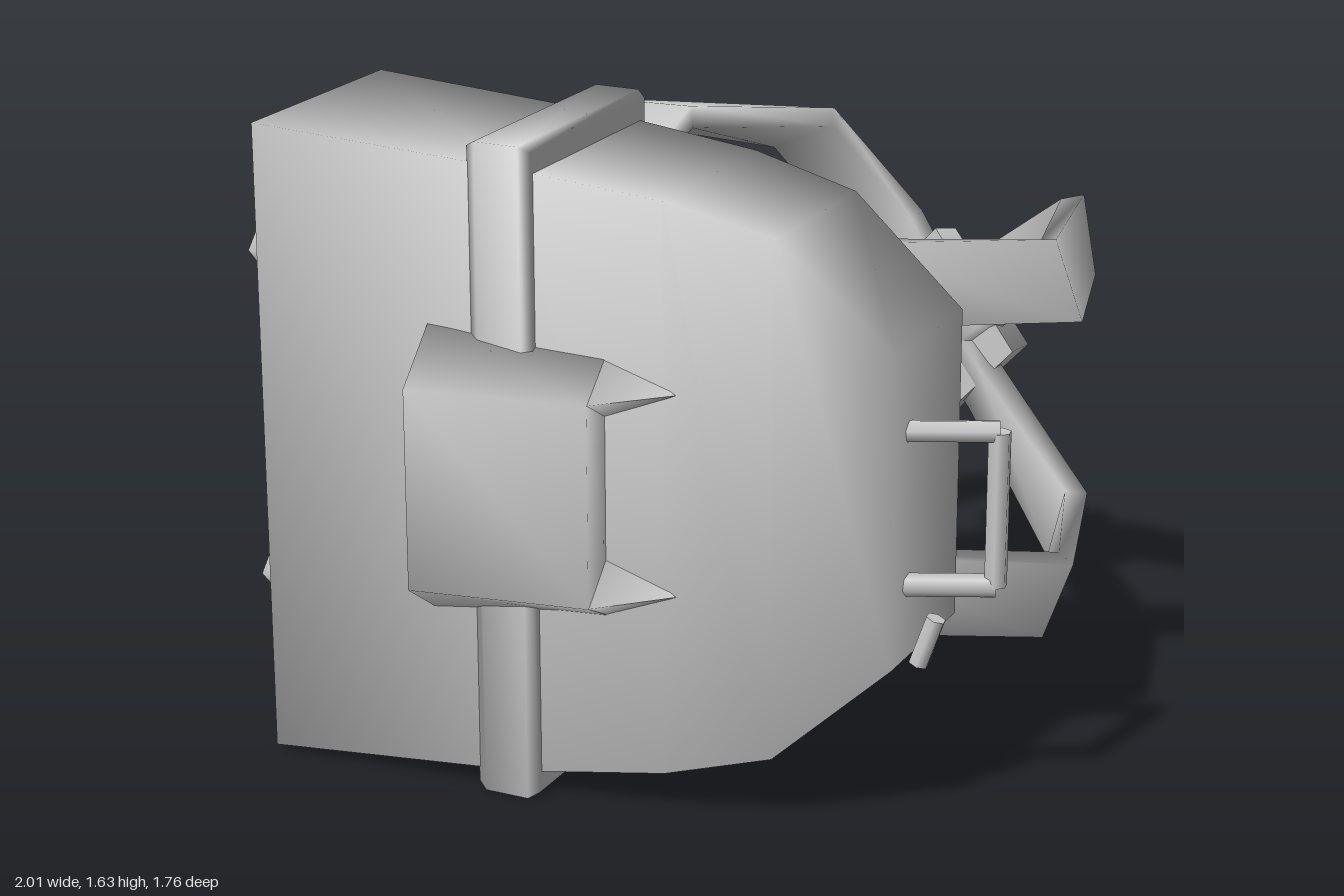
import * as THREE from 'three';

const V = (x, y, z) => new THREE.Vector3(x, y, z);
const MID = 0.82; // height of the mirror plane of the pack
const material = new THREE.MeshStandardMaterial({ color: 0xcccccc, side: THREE.DoubleSide });

// Skin a row of cross-sections (arrays of Vector3, counter-clockwise about the path)
function loft(sections) {
  const n = sections[0].length, last = (sections.length - 1) * n, index = [];
  for (let i = 0; i < sections.length - 1; i++) {
    for (let j = 0; j < n; j++) {
      const a = i * n + j, b = i * n + (j + 1) % n;
      index.push(a, b, b + n, a, b + n, a + n);
    }
  }
  for (let j = 1; j < n - 1; j++) {
    index.push(0, j + 1, j, last, last + j, last + j + 1);
  }
  const geometry = new THREE.BufferGeometry().setFromPoints(sections.flat());
  geometry.setIndex(index);
  geometry.computeVertexNormals();
  return geometry;
}

// Flat strap along points; each entry is [position, half-width vector]
function strapGeometry(path, halfThickness) {
  return loft(path.map(([p, h], i) => {
    const before = path[Math.max(i - 1, 0)][0];
    const after = path[Math.min(i + 1, path.length - 1)][0];
    const t = after.clone().sub(before).normalize();
    const n = t.cross(h).normalize().multiplyScalar(halfThickness);
    return [[1, 1], [-1, 1], [-1, -1], [1, -1]].map(([a, b]) =>
      p.clone().addScaledVector(h, a).addScaledVector(n, b));
  }));
}

function add(parent, name, geometry) {
  const mesh = new THREE.Mesh(geometry, material);
  mesh.name = name;
  parent.add(mesh);
  return mesh;
}

// Round bar between two points
function bar(parent, name, a, b, radius) {
  const mesh = add(parent, name, new THREE.CylinderGeometry(radius, radius, a.distanceTo(b), 6));
  mesh.position.copy(a).lerp(b, 0.5);
  mesh.quaternion.setFromUnitVectors(V(0, 1, 0), b.clone().sub(a).normalize());
}

export function createModel() {
  const model = new THREE.Group();
  model.name = 'backpack';

  // The pack lies on its side, turned a little about the vertical
  const pack = new THREE.Group();
  pack.name = 'pack';
  pack.position.y = MID;
  pack.rotation.y = -THREE.MathUtils.degToRad(10);
  model.add(pack);

  // Body: [along, half height, front depth]
  const stations = [
    [-0.775, 0.8, 0.797], [-0.1, 0.755, 0.755], [0.26, 0.71, 0.705],
    [0.52, 0.64, 0.66], [0.797, 0.385, 0.601],
  ];
  add(pack, 'body', loft(stations.map(([u, w, f]) =>
    [V(u, w, f), V(u, -w, f), V(u, -w, 0.2), V(u, w, 0.2)])));

  // Band around the body, with slightly softened edges
  const w = 0.815;
  const ring = (u, inset) => [
    V(u, w - inset, 0.775 - inset), V(u, -w + inset, 0.775 - inset),
    V(u, -w + inset, 0.16 + inset), V(u, w - inset, 0.16 + inset)];
  add(pack, 'band', loft([ring(-0.216, 0.015), ring(-0.19, 0), ring(-0.075, 0), ring(-0.05, 0.015)]));

  // Feet on the bottom end
  for (const s of [1, -1]) {
    const foot = add(pack, 'foot', new THREE.CylinderGeometry(0.107, 0.148, 0.16, 6));
    foot.rotation.z = Math.PI / 2;
    foot.scale.x = 0.62;
    foot.position.set(-0.83, s * 0.425, 0.52);
  }

  // Front pocket with a sloping rim
  const pocketEnd = (x, top) => [
    V(x, MID + 0.25, 0.875), V(x, MID - 0.25, 0.875),
    V(x, MID - top, 0.68), V(x, MID + top, 0.68)];
  add(model, 'pocket', loft([pocketEnd(-0.455, 0.37), pocketEnd(-0.01, 0.345)]));

  for (const s of [1, -1]) {
    const at = (x, y, z) => V(x, MID + s * y, z);

    // Pointed corner of the pocket
    const base = [at(-0.015, 0.345, 0.68), at(-0.015, 0.25, 0.875), at(-0.015, 0.15, 0.68)];
    const tip = at(0.165, 0.25, 0.745);
    if (s < 0) base.reverse();
    add(model, 'pocketCorner', loft([base, base.map(() => tip.clone())]));

    // Shoulder strap on the top side
    const dir = (x, y, z) => V(x, s * y, z);
    add(model, 'upperStrap', strapGeometry([
      [at(0.38, 0.395, 0.26), dir(-0.02, 0.105, 0)],
      [at(0.945, 0.405, 0.11), dir(-0.035, 0.1, 0)],
      [at(0.91, 0.39, -0.33), dir(-0.02, 0.1, -0.01)],
      [at(0.62, 0.13, -0.64), dir(-0.02, 0.08, -0.055)],
      [at(0.5, 0.0, -0.71), dir(-0.02, 0.07, -0.05)],
    ], 0.03));

    // Shoulder strap on the bottom side
    add(model, 'lowerStrap', strapGeometry([
      [at(-0.35, 0.39, 0.2), dir(0.105, 0, 0.01)],
      [at(-0.23, 0.63, -0.34), dir(0.13, 0, 0.01)],
      [at(0.1, 0.52, -0.72), dir(0.085, 0.04, 0.02)],
      [at(0.34, 0.24, -0.76), dir(0.07, 0.06, 0.03)],
      [at(0.5, 0.0, -0.71), dir(0.06, 0.06, 0.03)],
    ], 0.03));
  }

  // Diamond plate where the straps meet
  const plate = add(model, 'strapPlate',
    new THREE.CylinderGeometry(0.265, 0.28, 0.08, 4).rotateX(Math.PI / 2));
  plate.position.set(0.49, MID, -0.72);
  plate.rotation.y = THREE.MathUtils.degToRad(150);

  // Carry handle and the small loop beside it
  const grip = [V(0.68, 1.0, 0.645), V(0.895, 1.0, 0.59), V(0.895, 0.62, 0.59), V(0.68, 0.62, 0.645)];
  for (let i = 0; i < 3; i++) bar(model, 'handle', grip[i], grip[i + 1], 0.028);
  bar(model, 'loop', V(0.72, 0.41, 0.61), V(0.76, 0.53, 0.61), 0.025);

  return model;
}
